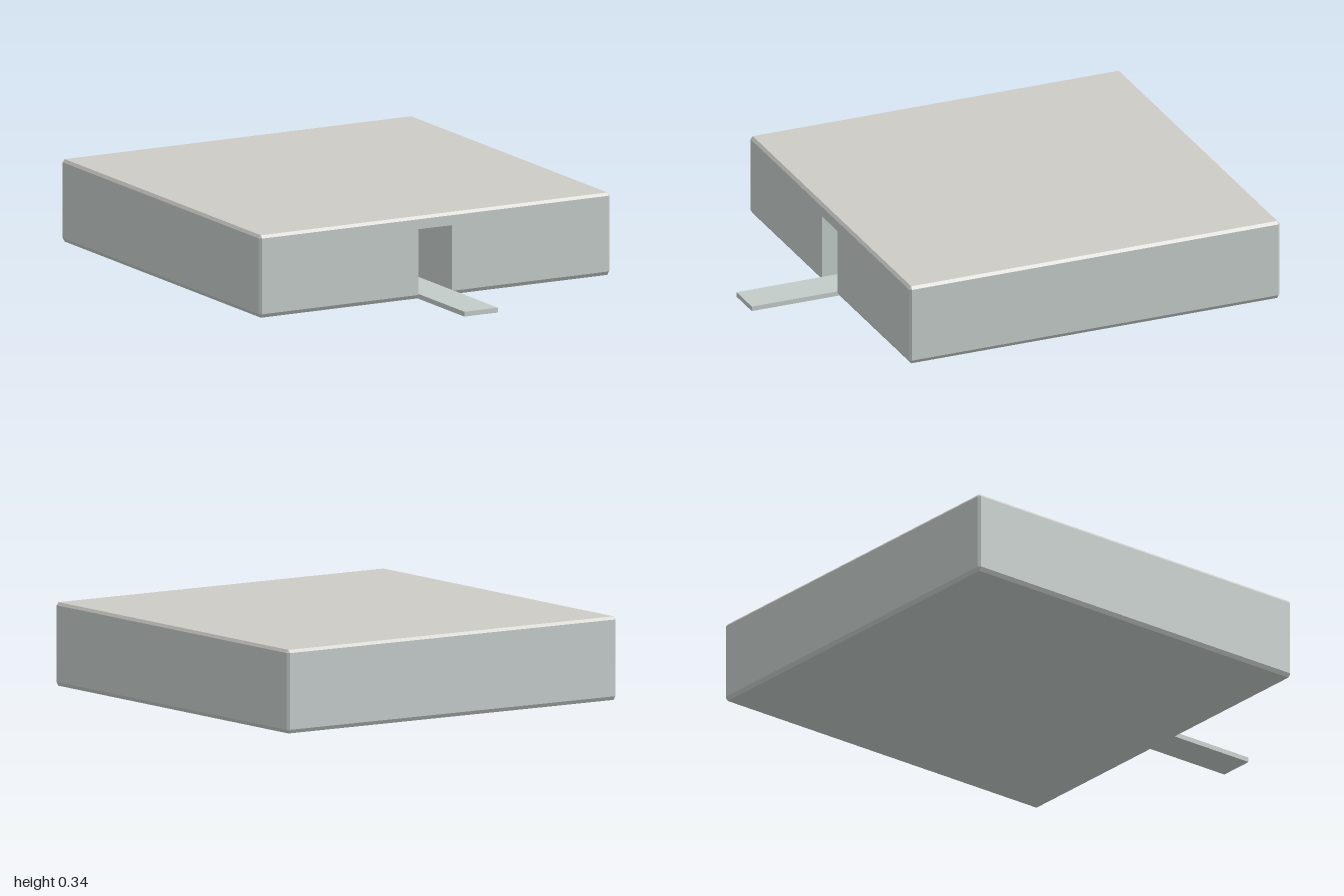
import * as THREE from 'three';
import { ConvexGeometry } from 'three/addons/geometries/ConvexGeometry.js';

const X = 0.81, BACK = -1, FRONT = 0.625, C = 0.01; // block extents and edge chamfer
const DOOR = 0.077, DOOR_TOP = 0.287, DEPTH = -0.19; // passage half width, height, inner end
const WALL_LOW = 0.016, WALL_HIGH = 0.328, TOP = 0.34, SILL = 0.02;

// Block outline with cut corners as [x, z], starting and ending on the front side
const outline = [
  [X - C, FRONT], [X, FRONT - C], [X, BACK + C], [X - C, BACK],
  [-X + C, BACK], [-X, BACK + C], [-X, FRONT - C], [-X + C, FRONT],
];
const passage = [[-DOOR, FRONT], [-DOOR, DEPTH], [DOOR, DEPTH], [DOOR, FRONT]];

// Upright prism over a plan of [x, z] points
function prism(points, y0, y1) {
  const shape = new THREE.Shape(points.map(([x, z]) => new THREE.Vector2(x, -z)));
  const geo = new THREE.ExtrudeGeometry(shape, { depth: y1 - y0, bevelEnabled: false });
  return geo.rotateX(-Math.PI / 2).translate(0, y0, 0);
}

// Plate whose flat face is inset, giving a chamfer up to the walls
function chamferedPlate(wallY, faceY) {
  const points = outline.map(([x, z]) => new THREE.Vector3(x, wallY, z));
  for (const x of [-X + C, X - C])
    for (const z of [BACK + C, FRONT - C]) points.push(new THREE.Vector3(x, faceY, z));
  return new ConvexGeometry(points);
}

function box(w, y0, y1, z0, z1) {
  return new THREE.BoxGeometry(w, y1 - y0, z1 - z0).translate(0, (y0 + y1) / 2, (z0 + z1) / 2);
}

export function createModel() {
  const group = new THREE.Group();
  const stone = new THREE.MeshStandardMaterial({ color: 0xc3cbc9 });
  const cap = new THREE.MeshStandardMaterial({ color: 0xcccbc6 });
  const add = (name, geo, material) => {
    const mesh = new THREE.Mesh(geo, material);
    mesh.name = name;
    group.add(mesh);
  };

  // Block: base, walls around the passage, lintel layer and roof
  add('base', chamferedPlate(WALL_LOW, 0), stone);
  add('walls', prism([...outline, ...passage], WALL_LOW, DOOR_TOP), stone);
  add('lintel', prism(outline, DOOR_TOP, WALL_HIGH), stone);
  add('roof', chamferedPlate(WALL_HIGH, TOP), cap);

  // Path in front of the door, level with the passage floor
  add('passageFloor', box(DOOR * 2, WALL_LOW, SILL, DEPTH, FRONT - C), stone);
  add('entrancePath', box(DOOR * 2, 0, SILL, FRONT - C, 1), stone);
  return group;
}
